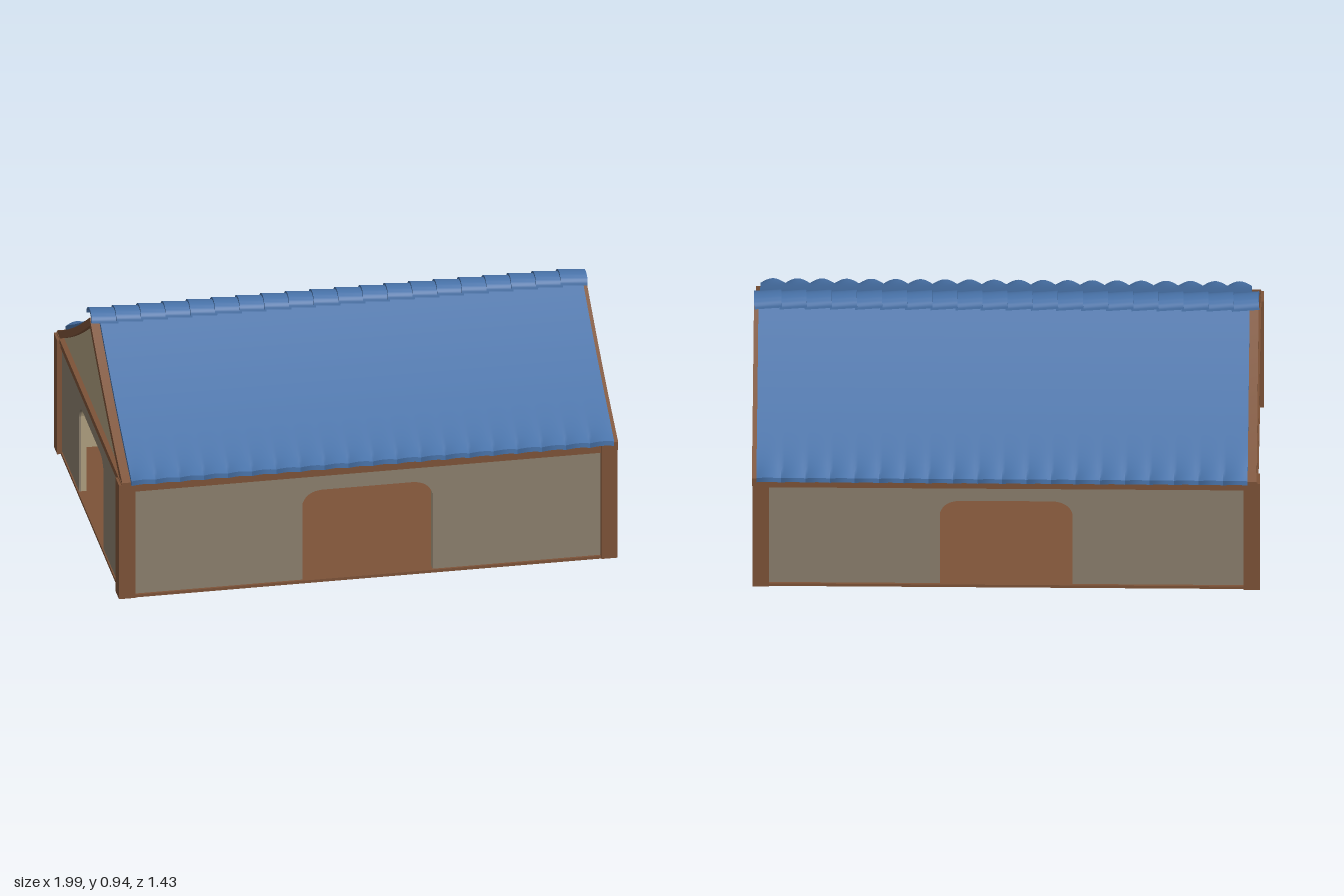
import * as THREE from 'three';
import { toCreasedNormals } from 'three/addons/utils/BufferGeometryUtils.js';

const mat = (name, color) => {
  const m = new THREE.MeshStandardMaterial({ color });
  m.name = name;
  return m;
};

// Height of the gently concave roof above a given z
const roofY = (z) => 0.92 - 0.6605 * Math.abs(z) + 0.1375 * z * z;

// Curved band following the roof on both slopes, between two vertical offsets
function roofBand(top, bottom, reach, n = 40) {
  const pts = [];
  for (let i = 0; i <= n; i++) {
    const z = -reach + (2 * reach * i) / n;
    pts.push(new THREE.Vector2(z, roofY(z) + bottom));
  }
  for (let i = n; i >= 0; i--) {
    const z = -reach + (2 * reach * i) / n;
    pts.push(new THREE.Vector2(z, roofY(z) + top));
  }
  return new THREE.Shape(pts);
}

// Extrude a symmetric (z, y) shape along x
function alongX(shape, x0, x1, steps = 1) {
  const g = new THREE.ExtrudeGeometry(shape, { depth: x1 - x0, steps, bevelEnabled: false, curveSegments: 10 });
  return g.rotateY(Math.PI / 2).translate(x0, 0, 0);
}

// Wall outline, optionally notched by a doorway with rounded top corners
function wallShape(half, door) {
  const s = new THREE.Shape();
  const b = 0.008;
  s.moveTo(-half, b);
  if (door) {
    s.lineTo(-0.26, b);
    s.lineTo(-0.26, 0.34);
    s.quadraticCurveTo(-0.245, 0.395, -0.18, 0.398);
    s.lineTo(0.18, 0.398);
    s.quadraticCurveTo(0.245, 0.395, 0.26, 0.34);
    s.lineTo(0.26, b);
  }
  s.lineTo(half, b);
  s.lineTo(half, 0.485);
  s.lineTo(-half, 0.485);
  return s;
}

export function createModel() {
  const model = new THREE.Group();
  const wood = mat('brown wood', 0x7d5338);
  const plaster = mat('grey plaster', 0x8b7f6d);
  const cream = mat('cream plaster', 0xaf9f7f);
  const tile = mat('blue tile', 0x4872a8);

  const add = (name, geo, material, parent = model) => {
    const m = new THREE.Mesh(geo, material);
    m.name = name;
    parent.add(m);
    return m;
  };
  // Box given by its limits
  const box = (name, x0, x1, y0, y1, z0, z1, material) =>
    add(name, new THREE.BoxGeometry(x1 - x0, y1 - y0, z1 - z0)
      .translate((x0 + x1) / 2, (y0 + y1) / 2, (z0 + z1) / 2), material);

  // Floor and ceiling
  box('floor', -0.985, 0.975, 0, 0.012, -0.68, 0.68, wood);
  box('ceiling', -0.955, 0.945, 0.47, 0.495, -0.66, 0.66, wood);

  // Four walls: grey skin outside, cream lining inside
  const walls = [
    ['front', 0, 0.67, 0.95, true], ['back', Math.PI, 0.67, 0.95, true],
    ['left', Math.PI / 2, 0.975, 0.66, false], ['right', -Math.PI / 2, 0.975, 0.66, true],
  ];
  for (const [name, turn, dist, half, door] of walls) {
    const wall = new THREE.Group();
    wall.name = name + 'Wall';
    wall.rotation.y = turn;
    wall.position.x = -0.005;
    const shape = wallShape(half, door);
    const skin = { depth: 0.008, bevelEnabled: false };
    const lining = { depth: 0.022, bevelEnabled: false };
    add('outerSkin', new THREE.ExtrudeGeometry(shape, skin).translate(0, 0, dist - 0.008), plaster, wall);
    add('innerLining', new THREE.ExtrudeGeometry(shape, lining).translate(0, 0, dist - 0.03), cream, wall);
    model.add(wall);
  }

  // Small square panels high on the closed end
  for (const s of [-1, 1]) {
    const z = s > 0 ? 0.525 : -0.43;
    box('wallPanel', 0.965, 0.974, 0.365, 0.468, z - 0.045, z + 0.045, plaster);
  }

  for (const s of [-1, 1]) {
    // Corner posts
    for (const [x0, x1] of [[-1, -0.935], [0.925, 0.99]]) {
      const z0 = s > 0 ? 0.617 : -0.69;
      box('cornerPost', x0, x1, 0.003, 0.5, z0, z0 + 0.073, wood);
    }
    // Long beam under the eave
    const zb = s > 0 ? 0.64 : -0.685;
    box('eaveBeam', -0.99, 0.98, 0.465, 0.505, zb, zb + 0.045, wood);

    // End beams, gable infill and curved barge boards
    const xe = s > 0 ? 0.95 : -0.99;
    box('endBeam', xe, xe + 0.04, 0.485, 0.503, -0.69, 0.69, wood);
    box('endBeamLower', xe + 0.003, xe + 0.037, 0.468, 0.487, -0.675, 0.675, wood);

    const gable = roofBand(-0.045, -0.045, 0.64, 40).getPoints().slice(0, 41);
    gable.push(new THREE.Vector2(0.64, 0.49), new THREE.Vector2(-0.64, 0.49));
    const xg = s > 0 ? 0.945 : -0.97;
    add('gable', alongX(new THREE.Shape(gable.reverse()), xg, xg + 0.015), cream);

    const xb = s > 0 ? 0.955 : -0.987;
    add('bargeBoard', toCreasedNormals(alongX(roofBand(-0.021, -0.056, 0.69), xb, xb + 0.037), 0.5), wood);
  }

  // Tiled roof, scalloped into rounded tile ends along both eaves
  const roof = alongX(roofBand(0, -0.02, 0.7, 56), -0.952, 0.974, 160);
  const p = roof.attributes.position;
  for (let i = 0; i < p.count; i++) {
    const z = p.getZ(i);
    const t = Math.min(1, Math.abs(z) / 0.7);
    const w = Math.abs(Math.sin(((p.getX(i) + 0.952) / 1.926) * Math.PI * 20));
    p.setZ(i, z + Math.sign(z) * 0.015 * w * t ** 16);
    p.setY(i, p.getY(i) + 0.012 * (w - 0.6) * t ** 16);
  }
  add('roof', toCreasedNormals(roof, 0.7), tile);

  // Overlapping curved ridge tiles, each sloping down towards +x
  const arc = new THREE.Shape();
  const rim = (rz, ry, back) => {
    for (let i = 0; i <= 16; i++) {
      const a = (Math.PI * (back ? 16 - i : i)) / 16;
      const x = rz * Math.cos(a), y = ry * Math.sin(a);
      if (i === 0 && !back) arc.moveTo(x, y); else arc.lineTo(x, y);
    }
  };
  rim(0.056, 0.036, false);
  rim(0.046, 0.026, true);
  const ridgeTile = toCreasedNormals(alongX(arc, 0, 0.108), 0.6);
  const ridge = new THREE.Group();
  ridge.name = 'ridge';
  for (let i = 0; i < 20; i++) {
    const m = add('ridgeTile', ridgeTile, tile, ridge);
    m.position.set(-0.99 + i * 0.0985, 0.9 - i * 0.0002, 0);
    m.rotation.z = -0.09;
  }
  model.add(ridge);
  return model;
}
